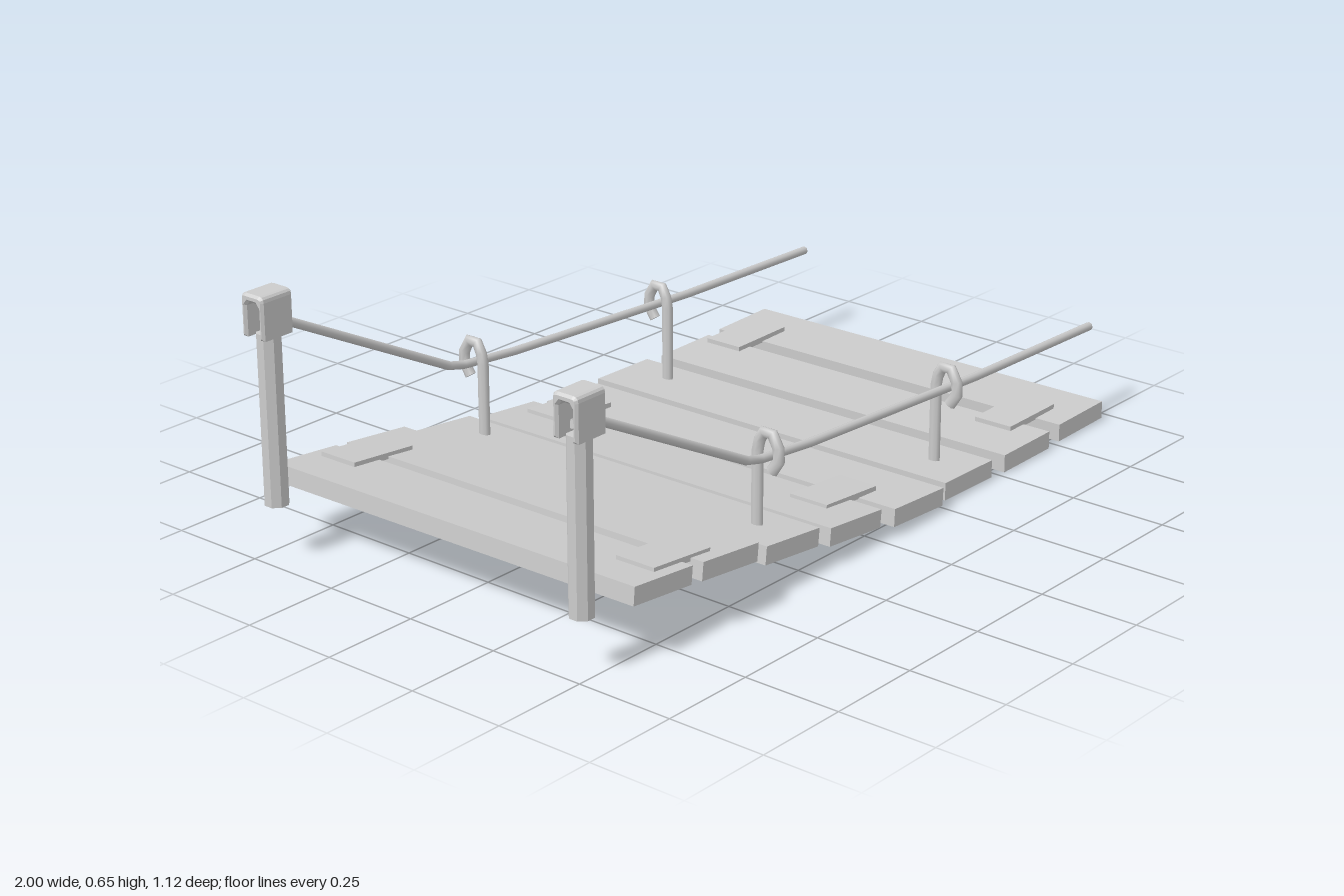
import * as THREE from 'three';
import { mergeGeometries } from 'three/addons/utils/BufferGeometryUtils.js';

const material = new THREE.MeshStandardMaterial({ color: 0xcccccc });
const flatMaterial = new THREE.MeshStandardMaterial({ color: 0xcccccc, flatShading: true });

// Straight-sided path with a tube ring exactly on every corner
class Polyline extends THREE.Curve {
  constructor(points) {
    super();
    this.points = points.map((p) => new THREE.Vector3(...p));
  }
  getPoint(t) {
    const n = this.points.length - 1;
    const s = THREE.MathUtils.clamp(t, 0, 1) * n;
    const i = Math.min(Math.floor(s), n - 1);
    return this.points[i].clone().lerp(this.points[i + 1], s - i);
  }
  getPointAt(t) { return this.getPoint(t); }
  getTangentAt(t) { return this.getTangent(t); }
}

// Tube closed by a disc at each end
function cappedTube(points, radius, sides) {
  const path = new Polyline(points);
  const parts = [new THREE.TubeGeometry(path, points.length - 1, radius, sides)];
  for (const end of [0, 1]) {
    const outward = path.getTangent(end).multiplyScalar(end ? 1 : -1);
    const turn = new THREE.Quaternion().setFromUnitVectors(new THREE.Vector3(0, 0, 1), outward);
    const cap = new THREE.CircleGeometry(radius, sides).applyQuaternion(turn);
    const p = path.getPoint(end);
    parts.push(cap.translate(p.x, p.y, p.z));
  }
  return mergeGeometries(parts);
}

// Bracket on top of a post: rounded arch with an opening along x
function bracketGeometry() {
  const w = 0.035, h = 0.105, r = 0.014;
  const shape = new THREE.Shape();
  shape.moveTo(-w, 0);
  shape.lineTo(-0.02, 0);
  shape.lineTo(-0.02, 0.075);
  shape.lineTo(-0.012, 0.085);
  shape.lineTo(0.012, 0.085);
  shape.lineTo(0.02, 0.075);
  shape.lineTo(0.02, 0);
  shape.lineTo(w, 0);
  shape.lineTo(w, h - r);
  shape.quadraticCurveTo(w, h, w - r, h);
  shape.lineTo(-w + r, h);
  shape.quadraticCurveTo(-w, h, -w, h - r);
  const geometry = new THREE.ExtrudeGeometry(shape, {
    depth: 0.083, curveSegments: 3,
    bevelEnabled: true, bevelSize: 0.006, bevelOffset: -0.006, bevelThickness: 0.006, bevelSegments: 1,
  });
  return geometry.translate(0, 0, -0.0415).rotateY(Math.PI / 2);
}

export function createModel() {
  const model = new THREE.Group();
  const add = (name, geometry, mat, x = 0, y = 0, z = 0) => {
    const mesh = new THREE.Mesh(geometry, mat);
    mesh.name = name;
    mesh.position.set(x, y, z);
    model.add(mesh);
    return mesh;
  };

  // Planks: centre x, centre y, centre z, slope, length
  const planks = [
    [-0.768, 0.160, -0.012, -0.10, 1.085],
    [-0.542, 0.138, -0.01, -0.11, 1.085],
    [-0.320, 0.098, -0.008, -0.11, 1.08],
    [-0.095, 0.069, 0, -0.10, 1.08],
    [0.135, 0.047, 0.012, -0.06, 1.08],
    [0.366, 0.035, -0.014, -0.025, 1.09],
    [0.611, 0.031, -0.01, 0, 1.085],
    [0.863, 0.031, -0.02, 0.01, 1.085],
  ];
  const plankMeshes = planks.map(([x, y, z, slope, length]) => {
    const plank = add('plank', new THREE.BoxGeometry(0.197, 0.045, length), flatMaterial, x, y, z);
    plank.rotation.set(0, 0.015, slope);
    return plank;
  });

  // Plates joining neighbouring planks: x, y, back z, front z, slope
  const plates = [
    [-0.66, 0.174, -0.468, 0.445, -0.10],
    [0.015, 0.083, -0.437, 0.395, -0.085],
    [0.755, 0.057, -0.468, 0.40, 0],
  ];
  for (const [x, y, back, front, slope] of plates) {
    for (const z of [back, front]) {
      const plate = add('joiningPlate', new THREE.BoxGeometry(0.195, 0.016, 0.107), flatMaterial, x, y, z);
      plate.rotation.set(0, 0.015, slope);
    }
  }

  for (const side of [-1, 1]) {
    // End post with its rope bracket
    const post = new THREE.CylinderGeometry(0.03, 0.03, 0.42, 8).rotateY(Math.PI / 8);
    add('endPost', post, flatMaterial, -0.953, 0.35, side * 0.467);
    add('ropeBracket', bracketGeometry(), flatMaterial, -0.953, 0.555, side * 0.468);

    // Sagging hand rope
    const ropeZ = side > 0 ? 0.452 : -0.465;
    const rope = [
      [-0.96, 0.578], [-0.9, 0.572], [-0.38, 0.308], [-0.33, 0.296], [-0.15, 0.279],
      [0.17, 0.262], [0.5, 0.245], [1, 0.233],
    ].map(([x, y]) => [x, y, ropeZ]);
    add('handRope', cappedTube(rope, 0.011, 8), material);

    // Hooks rising from the planks and curling around the rope
    const inner = side > 0 ? 0.421 : -0.427;
    for (const [x, base, top] of [[-0.303, 0.085, 0.35], [0.383, 0.035, 0.302]]) {
      const hook = [
        [0, base], [0, top - 0.05], [0.005, top - 0.025], [0.018, top], [0.043, top],
        [0.06, top - 0.03], [0.062, top - 0.06], [0.042, top - 0.09],
      ].map(([out, y]) => [0, y, inner + side * out]);
      const geometry = cappedTube(hook, 0.0155, 8).scale(0.75, 1, 1);
      add('ropeHook', geometry, material, x);
    }
  }
  return model;
}
